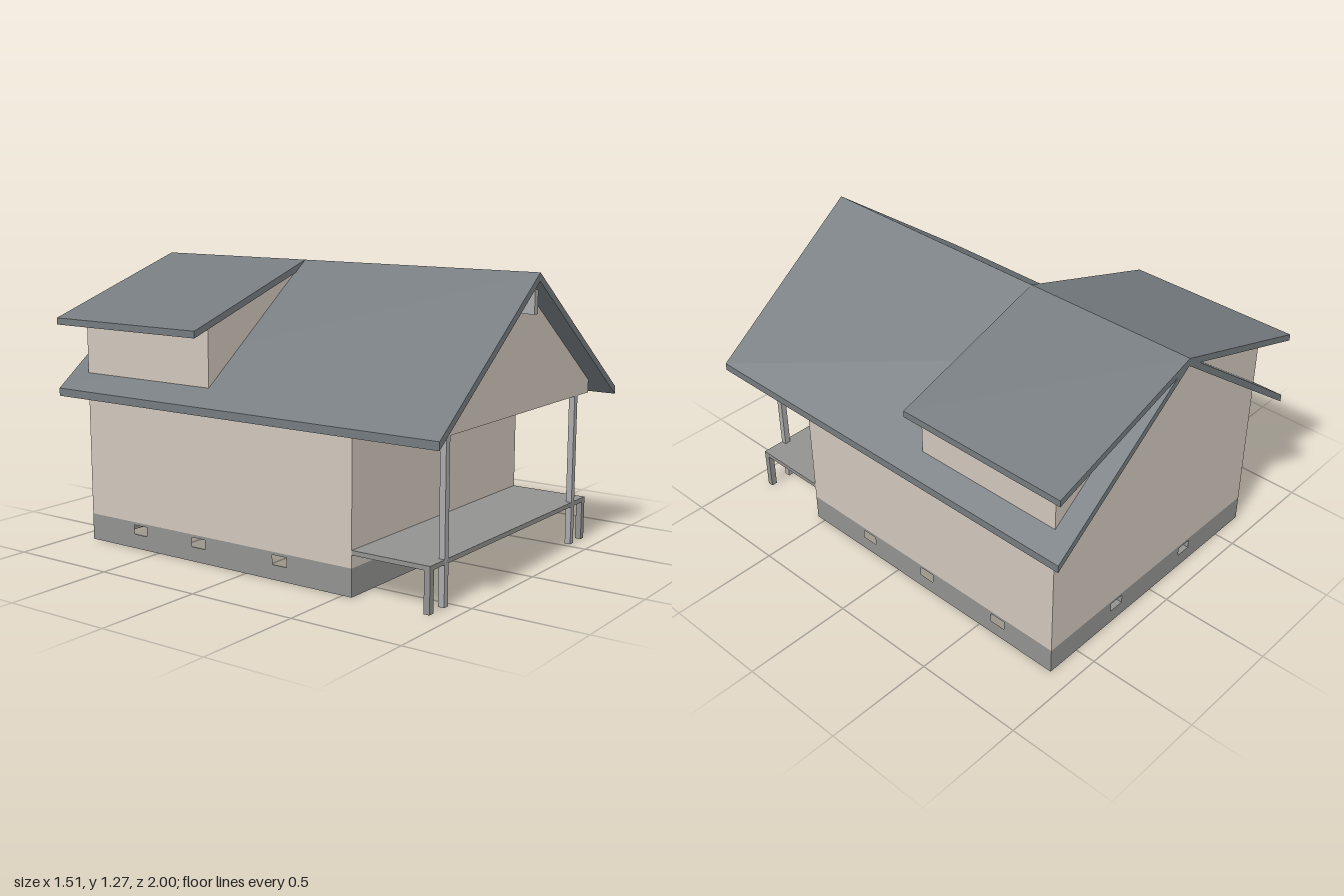
import * as THREE from 'three';

const WALL = 0xd0c7bb, BASE = 0x929290, ROOF = 0x757b7f, WOOD = 0xababad;
const HALF = 0.665, FRONT = 0.545, BACK = -0.905, T = 0.04;
const RIDGE = 1.27, EAVE_X = 0.755;

const material = (color) => new THREE.MeshStandardMaterial({ color });

function polygon(points) {
  return new THREE.Shape(points.map(([x, y]) => new THREE.Vector2(x, y)));
}

// Shape in x/y, extruded from z0 to z1
function slabZ(name, points, z0, z1, color, vents = []) {
  const shape = polygon(points);
  vents.forEach((c) => shape.holes.push(vent(c)));
  const geo = new THREE.ExtrudeGeometry(shape, { depth: z1 - z0, bevelEnabled: false });
  geo.translate(0, 0, z0);
  const mesh = new THREE.Mesh(geo, material(color));
  mesh.name = name;
  return mesh;
}

// Shape in z/y, extruded from x0 to x1
function slabX(name, points, x0, x1, color, vents = []) {
  const shape = polygon(points.map(([z, y]) => [-z, y]));
  vents.forEach((c) => shape.holes.push(vent(-c)));
  const geo = new THREE.ExtrudeGeometry(shape, { depth: x1 - x0, bevelEnabled: false });
  geo.rotateY(Math.PI / 2).translate(x0, 0, 0);
  const mesh = new THREE.Mesh(geo, material(color));
  mesh.name = name;
  return mesh;
}

function vent(c) {
  const w = 0.0375;
  return polygon([[c - w, 0.065], [c - w, 0.107], [c + w, 0.107], [c + w, 0.065]]);
}

function box(name, x0, x1, y0, y1, z0, z1, color) {
  const mesh = new THREE.Mesh(new THREE.BoxGeometry(x1 - x0, y1 - y0, z1 - z0), material(color));
  mesh.position.set((x0 + x1) / 2, (y0 + y1) / 2, (z0 + z1) / 2);
  mesh.name = name;
  return mesh;
}

// Bent gable roof slab with vertical eave ends
function roof(name, eaveTop, thick, z0, z1) {
  return slabZ(name, [
    [-EAVE_X, eaveTop - thick], [0, RIDGE - thick], [EAVE_X, eaveTop - thick],
    [EAVE_X, eaveTop], [0, RIDGE], [-EAVE_X, eaveTop],
  ], z0, z1, ROOF);
}

const rect = (a, b, y0, y1) => [[a, y0], [b, y0], [b, y1], [a, y1]];

// Pentagonal gable outline
const gable = (y0, side, top) => [[-HALF, y0], [HALF, y0], [HALF, side], [0, top], [-HALF, side]];

export function createModel() {
  const house = new THREE.Group();
  house.name = 'house';

  const MAIN_SIDE = 0.745, DORMER_SIDE = 1.025, DORMER_Z = -0.19, PORCH_Z = 0.91;

  // Foundation ring with vent openings
  const foundation = new THREE.Group();
  foundation.name = 'foundation';
  foundation.add(
    slabZ('foundationFront', rect(-HALF, HALF, 0, 0.12), FRONT - T, FRONT, BASE),
    slabZ('foundationBack', rect(-HALF, HALF, 0, 0.12), BACK, BACK + T, BASE, [-0.24, 0.24]),
    slabX('foundationLeft', rect(BACK + T, FRONT - T, 0, 0.12), HALF - T, HALF, BASE, [0.18, -0.185, -0.607]),
    slabX('foundationRight', rect(BACK + T, FRONT - T, 0, 0.12), -HALF, -HALF + T, BASE, [0.18, -0.265, -0.607]),
  );
  house.add(foundation);

  // Walls: the side walls step up where the dormer begins
  const walls = new THREE.Group();
  walls.name = 'walls';
  const side = [
    [BACK + T, 0.12], [FRONT - T, 0.12], [FRONT - T, MAIN_SIDE],
    [DORMER_Z, MAIN_SIDE], [DORMER_Z, DORMER_SIDE], [BACK + T, DORMER_SIDE],
  ];
  walls.add(
    slabZ('frontWall', gable(0.12, MAIN_SIDE, 1.243), FRONT - T, FRONT, WALL),
    slabZ('backWall', gable(0.12, DORMER_SIDE, 1.245), BACK, BACK + T, WALL),
    slabX('leftWall', side, HALF - T, HALF, WALL),
    slabX('rightWall', side, -HALF, -HALF + T, WALL),
  );
  // Triangular dormer front on each slope
  for (const s of [1, -1]) {
    const tri = [[0, 1.245], [s * HALF, 0.75], [s * HALF, DORMER_SIDE]];
    walls.add(slabZ('dormerFront', tri, DORMER_Z - T, DORMER_Z, WALL));
  }
  house.add(walls);

  // Roofs
  house.add(roof('mainRoof', 0.705, 0.035, -1, 1));
  house.add(roof('dormerRoof', 1.022, 0.03, -1, -0.185));

  // Porch: deck, short legs, tall posts, gable panel and ridge beam end
  const porch = new THREE.Group();
  porch.name = 'porch';
  porch.add(box('deck', -HALF, HALF, 0.175, 0.195, FRONT, PORCH_Z, BASE));
  for (const s of [1, -1]) {
    const leg = (name, x, top, color) =>
      box(name, s * x - 0.014, s * x + 0.014, 0, top, PORCH_Z - 0.027, PORCH_Z, color);
    porch.add(leg('deckLeg', HALF - 0.014, 0.175, BASE));
    porch.add(leg('porchPost', 0.545, 0.68, WOOD));
  }
  porch.add(slabZ('porchGable', gable(0.68, MAIN_SIDE, 1.243), PORCH_Z - 0.03, PORCH_Z, WALL));
  porch.add(box('ridgeBeamEnd', -0.014, 0.014, 1.1, 1.2, PORCH_Z, 0.985, WOOD));
  house.add(porch);

  return house;
}
